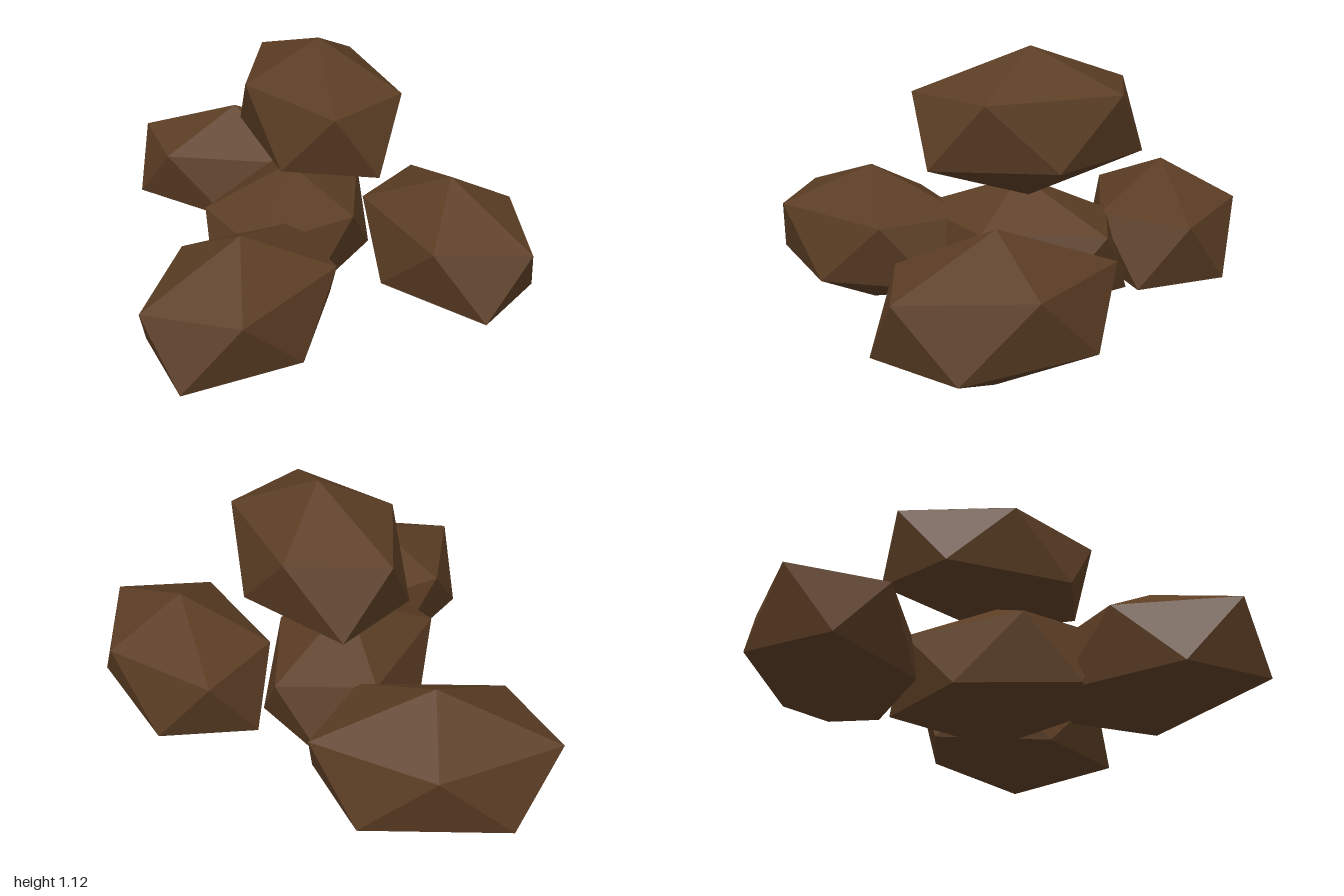
import * as THREE from 'three';

const brown = new THREE.MeshStandardMaterial({ color: 0x5b3d24, flatShading: true });
brown.name = 'dark brown';

// Name, centre, half height, and the two horizontal [x, z] axes of the ring ellipse
const CLODS = [
  ['frontClod', [0.12, 0.29, 0.44], 0.29, [0.28, -0.229], [0.127, 0.392]],
  ['backRightClod', [-0.56, 0.29, -0.55], 0.29, [0.359, -0.267], [0.254, 0.206]],
  ['backLeftClod', [0.58, 0.29, -0.4], 0.29, [0.419, 0.154], [-0.036, 0.32]],
  ['middleClod', [-0.035, 0.29, -0.165], 0.29, [0.305, 0.005], [0, 0.445]],
  ['topClod', [0.045, 0.825, -0.245], 0.29, [0.364, -0.012], [0.17, 0.373]],
];

// Stretched icosahedron: two poles and two staggered rings of five corners
function clodGeometry(halfHeight, a, b) {
  const corner = (degrees, y) => {
    const t = THREE.MathUtils.degToRad(degrees);
    const c = Math.cos(t), s = Math.sin(t);
    return [a[0] * c + b[0] * s, y, a[1] * c + b[1] * s];
  };
  const ringY = halfHeight / Math.sqrt(5);
  const top = [0, halfHeight, 0];
  const bottom = [0, -halfHeight, 0];
  const positions = [];
  for (let k = 0; k < 5; k++) {
    const u0 = corner(72 * k, ringY);
    const u1 = corner(72 * (k + 1), ringY);
    const l0 = corner(72 * k + 36, -ringY);
    const l1 = corner(72 * k + 108, -ringY);
    positions.push(...top, ...u1, ...u0); // cap
    positions.push(...u0, ...u1, ...l0); // belt, pointing down
    positions.push(...l0, ...u1, ...l1); // belt, pointing up
    positions.push(...bottom, ...l0, ...l1); // underside
  }
  const geometry = new THREE.BufferGeometry();
  geometry.setAttribute('position', new THREE.Float32BufferAttribute(positions, 3));
  geometry.computeVertexNormals();
  return geometry;
}

export function createModel() {
  const group = new THREE.Group();
  group.name = 'clodPile';
  for (const [name, centre, halfHeight, a, b] of CLODS) {
    const clod = new THREE.Mesh(clodGeometry(halfHeight, a, b), brown);
    clod.name = name;
    clod.position.set(...centre);
    group.add(clod);
  }
  return group;
}
